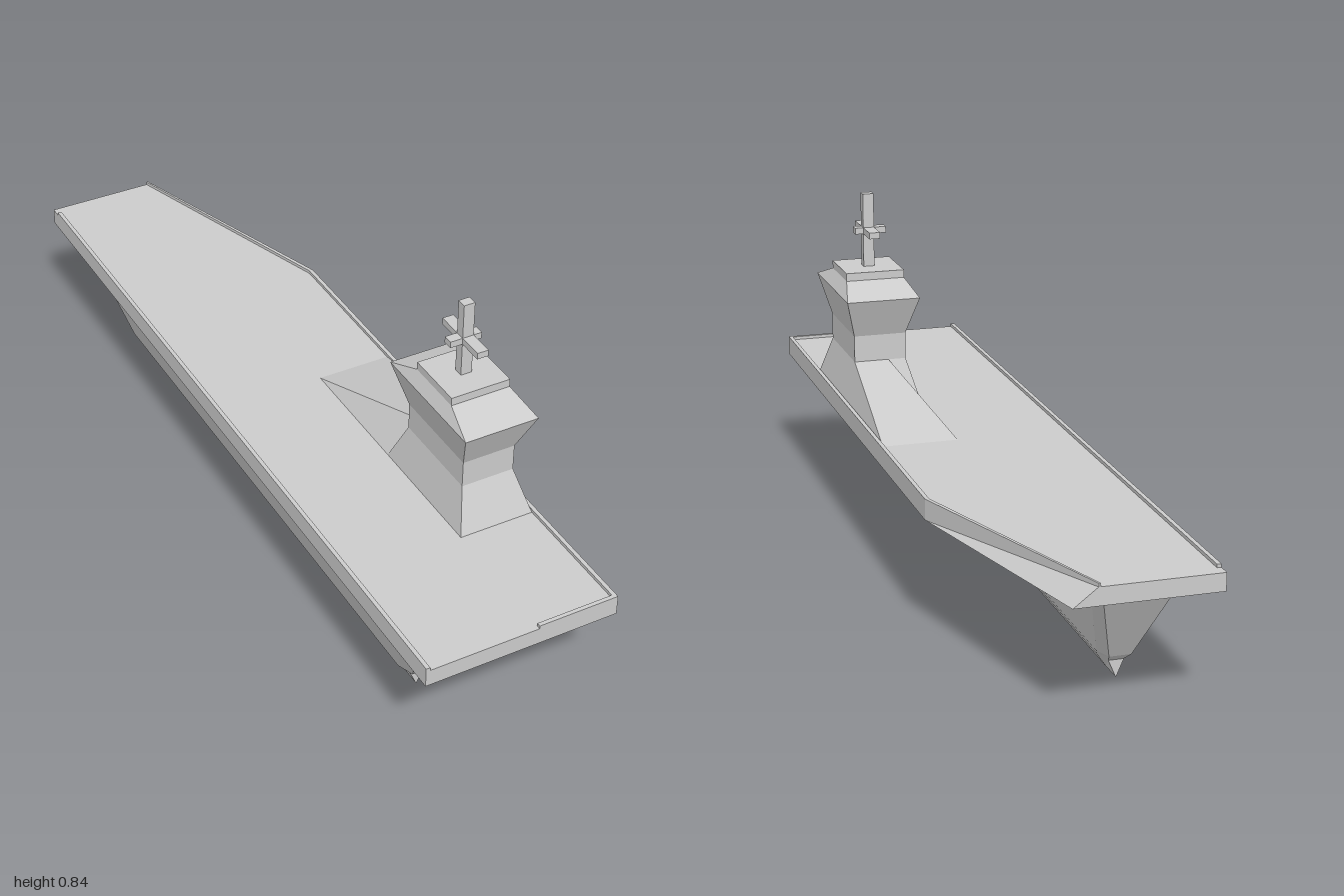
import * as THREE from 'three';

const material = new THREE.MeshStandardMaterial({ color: 0xcccccc, flatShading: true });

// Closed solid from loops of [x, y, z], bottom to top, counter-clockwise seen from above
function loft(name, loops) {
  const pos = [];
  const n = loops[0].length;
  const tri = (a, b, c) => pos.push(...a, ...b, ...c);
  for (let k = 0; k < loops.length - 1; k++) {
    const a = loops[k], b = loops[k + 1];
    for (let i = 0; i < n; i++) {
      const j = (i + 1) % n;
      tri(a[i], a[j], b[j]);
      tri(a[i], b[j], b[i]);
    }
  }
  const low = loops[0], top = loops[loops.length - 1];
  for (let i = 1; i < n - 1; i++) {
    tri(low[0], low[i + 1], low[i]);
    tri(top[0], top[i], top[i + 1]);
  }
  const geometry = new THREE.BufferGeometry();
  geometry.setAttribute('position', new THREE.Float32BufferAttribute(pos, 3));
  geometry.computeVertexNormals();
  const mesh = new THREE.Mesh(geometry, material);
  mesh.name = name;
  return mesh;
}

// Horizontal outline at height y
const outline = (y, points) => points.map(([x, z]) => [x, y, z]);
const rect = (y, x0, x1, z0, z1) => outline(y, [[x1, z1], [x1, z0], [x0, z0], [x0, z1]]);

// Rectangle with its corners cut by cx and cz
const chamfered = (y, x0, x1, l, cx, cz) => outline(y, [
  [x1 - cx, l], [x1, l - cz], [x1, -l + cz], [x1 - cx, -l],
  [x0 + cx, -l], [x0, -l + cz], [x0, l - cz], [x0 + cx, l],
]);

function box(name, x0, x1, y0, y1, z0, z1) {
  const mesh = new THREE.Mesh(new THREE.BoxGeometry(x1 - x0, y1 - y0, z1 - z0), material);
  mesh.position.set((x0 + x1) / 2, (y0 + y1) / 2, (z0 + z1) / 2);
  mesh.name = name;
  return mesh;
}

export function createModel() {
  const ship = new THREE.Group();
  ship.name = 'carrierShip';

  // Narrow hull, flaring out under the deck
  ship.add(loft('hull', [
    chamfered(0, -0.102, -0.098, 0.735, 0.001, 0.06),
    chamfered(0.04, -0.13, -0.07, 0.735, 0.012, 0.04),
    chamfered(0.06, -0.141, -0.059, 0.76, 0.015, 0.04),
    chamfered(0.245, -0.195, -0.004, 0.87, 0.014, 0.04),
    chamfered(0.26, -0.202, 0.008, 0.9, 0.008, 0.02),
    chamfered(0.285, -0.24, 0.095, 1, 0, 0),
  ]));

  // Flight deck with one angled rear corner
  const deckOutline = (y, cutX) =>
    outline(y, [[0.24, 1], [0.24, -0.41], [cutX, -1], [-0.24, -1], [-0.24, 1]]);
  ship.add(loft('flightDeck', [deckOutline(0.285, 0.095), deckOutline(0.327, 0.04)]));

  // Low rims along the deck edges
  const rims = new THREE.Group();
  rims.name = 'deckRims';
  const cut = [[0.24, -0.41], [0.04, -1], [0.035, -1], [0.23, -0.41]];
  rims.add(
    box('leftOuterRim', 0.23, 0.24, 0.327, 0.335, -0.41, 1),
    box('rightOuterRim', -0.24, -0.23, 0.327, 0.335, -0.97, 1),
    box('frontRim', 0.04, 0.23, 0.327, 0.335, 0.99, 1),
    loft('angledRim', [outline(0.327, cut), outline(0.335, cut)]),
  );
  ship.add(rims);

  // Waisted control tower with a sloped roof
  const tower = new THREE.Group();
  tower.name = 'controlTower';
  tower.add(loft('towerBody', [
    rect(0.327, 0.043, 0.23, 0.335, 0.668),
    rect(0.43, 0.07, 0.203, 0.38, 0.62),
    rect(0.497, 0.07, 0.203, 0.38, 0.62),
    rect(0.597, 0.043, 0.23, 0.335, 0.667),
    rect(0.63, 0.06, 0.21, 0.425, 0.575),
  ]));
  tower.add(box('roofSlab', 0.06, 0.21, 0.63, 0.65, 0.425, 0.575));

  // Long wedge behind the tower
  tower.add(loft('towerRamp', [
    rect(0.327, 0.043, 0.23, 0, 0.4),
    rect(0.43, 0.115, 0.203, 0.38, 0.4),
  ]));

  // Mast with crossed arms
  tower.add(
    box('mast', 0.121, 0.149, 0.65, 0.838, 0.488, 0.512),
    box('crossArm', 0.09, 0.17, 0.735, 0.751, 0.488, 0.512),
    box('lengthwiseArm', 0.121, 0.149, 0.735, 0.751, 0.425, 0.575),
  );
  ship.add(tower);
  return ship;
}
